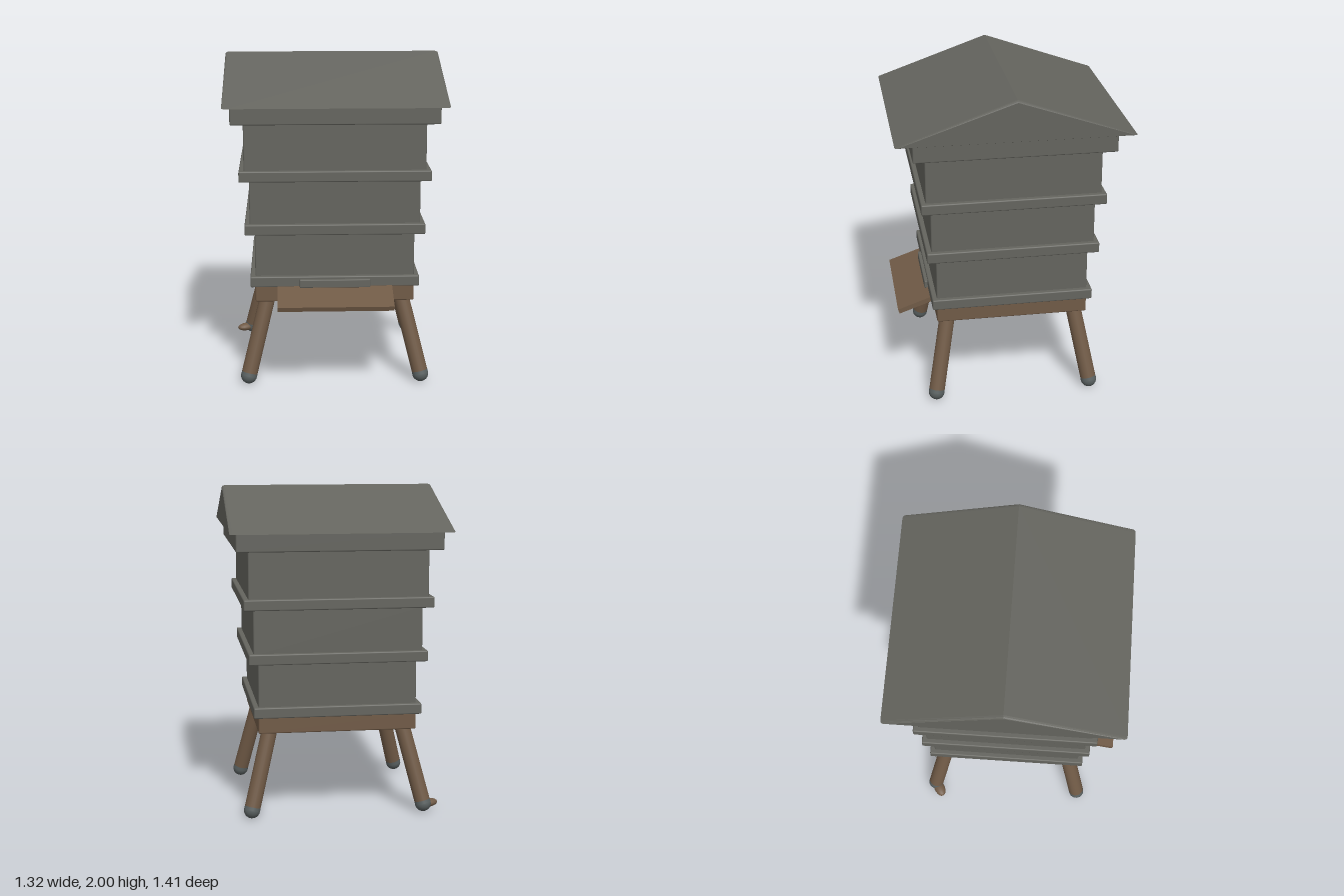
import * as THREE from 'three';
import { RoundedBoxGeometry } from 'three/addons/geometries/RoundedBoxGeometry.js';

function material(name, color) {
  const m = new THREE.MeshStandardMaterial({ color });
  m.name = name;
  return m;
}

export function createModel() {
  const paint = material('grey paint', 0x64645e);
  const wood = material('brown wood', 0x705a46);
  const footGrey = material('foot grey', 0x596060);

  const model = new THREE.Group();
  model.name = 'beehive';

  function add(name, geometry, mat, parent = model) {
    const mesh = new THREE.Mesh(geometry, mat);
    mesh.name = name;
    parent.add(mesh);
    return mesh;
  }

  // Softly edged box given by half extents and its bottom and top heights
  function slab(name, halfX, halfZ, bottom, top, mat) {
    const geometry = new RoundedBoxGeometry(halfX * 2, top - bottom, halfZ * 2, 2, 0.008);
    const mesh = add(name, geometry, mat);
    mesh.position.y = (bottom + top) / 2;
    return mesh;
  }

  // Stand frame and the three tiers, each one a little wider than the last
  slab('standFrame', 0.485, 0.468, 0.52, 0.625, wood);
  for (let i = 0; i < 3; i++) {
    const y = 0.62 + i * 0.333;
    const grow = i * 0.03;
    slab('tierBand', 0.515 + grow, 0.497 + grow, y, y + 0.066, paint);
    slab('tierBox', 0.485 + grow, 0.468 + grow, y + 0.05, i < 2 ? y + 0.34 : 1.645, paint);
  }
  slab('roofCollar', 0.62, 0.602, 1.637, 1.755, paint);

  // Gabled roof with the ridge along x
  const gable = new THREE.Shape();
  gable.moveTo(-0.705, 1.75);
  gable.lineTo(0.705, 1.75);
  gable.lineTo(0, 2);
  gable.closePath();
  const roof = new THREE.ExtrudeGeometry(gable, {
    depth: 1.284, bevelEnabled: true, bevelThickness: 0.02,
    bevelSize: 0.012, bevelOffset: -0.012, bevelSegments: 3,
  });
  roof.translate(0, 0, -0.642);
  roof.rotateY(Math.PI / 2);
  add('roof', roof, paint);

  // Entrance block and sloping landing board
  const entrance = add('entranceBlock', new RoundedBoxGeometry(0.43, 0.05, 0.04, 2, 0.005), paint);
  entrance.position.set(0, 0.645, 0.498);
  const board = add('landingBoard', new THREE.BoxGeometry(0.7, 0.03, 0.23), wood);
  board.position.set(0, 0.578, 0.586);
  board.rotation.x = 0.34;

  // Splayed legs with rounded feet
  const up = new THREE.Vector3(0, 1, 0);
  for (const sx of [-1, 1]) {
    for (const sz of [-1, 1]) {
      const bottom = new THREE.Vector3(sx * 0.532, 0.05, sz * 0.488);
      const top = new THREE.Vector3(sx * 0.405, 0.56, sz * 0.392);
      const axis = top.clone().sub(bottom);
      const length = axis.length();
      const leg = new THREE.Group();
      leg.name = 'leg';
      leg.position.copy(bottom);
      leg.quaternion.setFromUnitVectors(up, axis.normalize());
      model.add(leg);

      const post = new THREE.CylinderGeometry(0.048, 0.049, length - 0.02, 20);
      add('legPost', post, wood, leg).position.y = (length + 0.02) / 2;
      const cuff = new THREE.CylinderGeometry(0.049, 0.05, 0.02, 20, 1, true);
      add('footCuff', cuff, footGrey, leg).position.y = 0.01;
      const cap = new THREE.SphereGeometry(0.05, 20, 8, 0, Math.PI * 2, Math.PI / 2, Math.PI / 2);
      add('footCap', cap, footGrey, leg);
    }
  }

  // Small toe on the back leg
  const toe = add('toe', new THREE.SphereGeometry(1, 18, 10), wood);
  toe.scale.set(0.06, 0.025, 0.036);
  toe.position.set(-0.577, 0.044, -0.462);
  toe.rotation.y = 0.5;

  return model;
}
